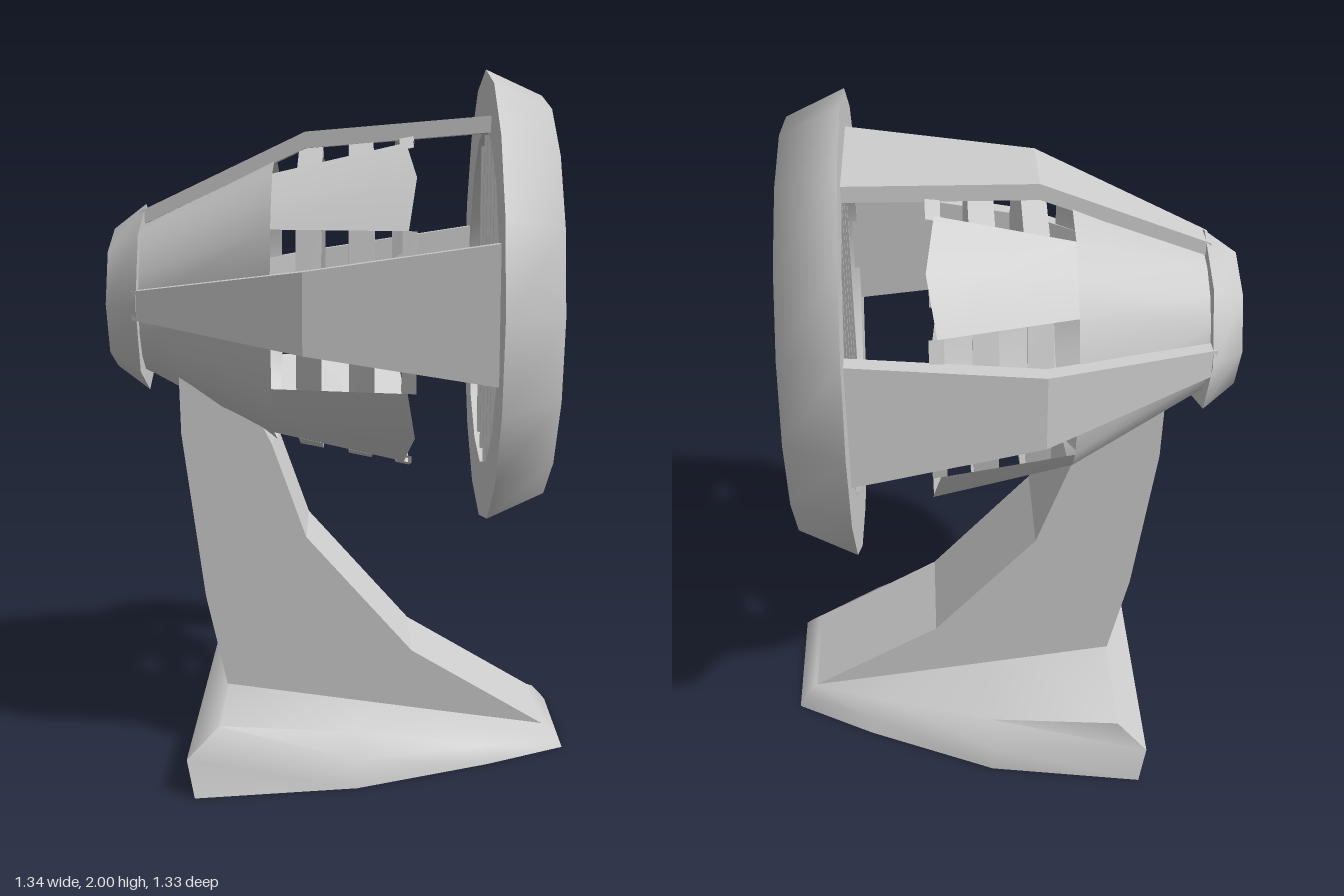
import * as THREE from 'three';
import { toCreasedNormals } from 'three/addons/utils/BufferGeometryUtils.js';

const AXIS_Y = 1.335;
const WINDOW = 0.22; // half width of the side windows
const material = new THREE.MeshStandardMaterial({ color: 0xcccccc, side: THREE.DoubleSide });

function mesh(name, geometry, crease = 0.6) {
  const m = new THREE.Mesh(toCreasedNormals(geometry, crease), material);
  m.name = name;
  return m;
}

// Skin over rows of points; every row has the same count
function loft(rows) {
  const n = rows[0].length, pos = rows.flat(2), idx = [];
  for (let i = 0; i < rows.length - 1; i++)
    for (let j = 0; j < n - 1; j++) {
      const a = i * n + j, b = a + n;
      idx.push(a, a + 1, b, b, a + 1, b + 1);
    }
  const g = new THREE.BufferGeometry();
  g.setAttribute('position', new THREE.Float32BufferAttribute(pos, 3));
  g.setIndex(idx);
  g.computeVertexNormals();
  return g;
}

// Profile of [radius, x] turned around the x axis
function turned(profile, sides) {
  return new THREE.LatheGeometry(profile.map(p => new THREE.Vector2(...p)), sides).rotateZ(-Math.PI / 2);
}

// Housing radius along the axis
function radius(x) {
  return x < -0.19 ? 0.22 + (x + 0.575) * 0.21 / 0.385 : 0.43 + (x + 0.19) * 0.078 / 0.39;
}
const onShell = (x, a, r = radius(x)) => [x, r * Math.cos(a), r * Math.sin(a)];
const edgeAngle = x => Math.asin(WINDOW / radius(x));

function extrude(points, depth) {
  const shape = new THREE.Shape(points.map(p => new THREE.Vector2(...p)));
  return new THREE.ExtrudeGeometry(shape, { depth, bevelEnabled: false }).translate(0, 0, -depth / 2);
}

function buildHead() {
  const head = new THREE.Group();
  head.name = 'head';
  head.position.y = AXIS_Y;

  head.add(mesh('rearCap', turned([[0, -0.67], [0.205, -0.67], [0.278, -0.575], [0.2, -0.575]], 8), 0.85));
  head.add(mesh('frontRing',
    turned([[0.5, 0.425], [0.667, 0.425], [0.592, 0.59], [0.515, 0.59], [0.5, 0.425]], 16), 1.2));

  // Closed rear part of the housing
  const ringRow = (x, e) => {
    const row = [];
    for (let q = 0; q < 4; q++)
      for (const a of [0, e, Math.PI / 4, Math.PI / 2 - e]) row.push(onShell(x, a + q * Math.PI / 2));
    row.push(row[0]);
    return row;
  };
  head.add(mesh('rearHousing', loft([ringRow(-0.575, Math.PI / 8), ringRow(-0.19, edgeAngle(-0.19))])));

  for (let q = 0; q < 4; q++) {
    const turn = q * Math.PI / 2;
    // Diagonal panel with a pointed front edge
    const panelRow = (x, mid) => {
      const e = edgeAngle(x);
      return [onShell(x, turn + e), onShell(mid, turn + Math.PI / 4), onShell(x, turn + Math.PI / 2 - e)];
    };
    head.add(mesh('housingPanel', loft([panelRow(-0.19, -0.19), panelRow(0.185, 0.21)])));

    // Slats across the window
    for (const [x0, x1] of [[-0.12, -0.05], [0.025, 0.095], [0.168, 0.208]]) {
      const row = (x, inset) => [-1, 0, 1].map(s => onShell(x, turn + s * edgeAngle(x), radius(x) - inset));
      head.add(mesh('windowSlat',
        loft([row(x0, 0), row(x1, 0), row(x1, 0.02), row(x0, 0.02), row(x0, 0)]), 0.3));
    }
  }

  // Struts on the top and both sides: x, inner and outer height, half width
  const stations = [[-0.59, 0.215, 0.257, 0.04], [-0.1, 0.44, 0.487, 0.113], [0.44, 0.485, 0.531, 0.193]];
  for (const turn of [0, Math.PI / 2, -Math.PI / 2]) {
    const rows = stations.map(([x, lo, hi, w]) => [[x, hi, -w], [x, hi, w], [x, lo, w], [x, lo, -w], [x, hi, -w]]);
    const cap = i => rows[i].map(() => [rows[i][0][0], (stations[i][1] + stations[i][2]) / 2, 0]);
    const strut = mesh('strut', loft([cap(0), ...rows, cap(2)]), 0.1);
    strut.rotation.x = turn;
    head.add(strut);
  }

  // Slanted upright blades inside the ring
  for (let i = -2; i <= 2; i++) {
    const z = i * 0.108 + 0.018;
    const blade = (x, zz) => {
      const h = Math.sqrt(0.505 ** 2 - zz * zz) - 0.003;
      return [[x, -h, zz], [x, h, zz]];
    };
    const [b0, b1] = [blade(0.435, z - 0.03), blade(0.565, z + 0.022)];
    const shift = row => row.map(([x, y, zz]) => [x, y, zz + 0.012]);
    head.add(mesh('blade', loft([b0, b1, shift(b1), shift(b0), b0]), 0.1));
  }
  return head;
}

function buildBase() {
  // Half outlines of each level, back to front: x, y, z
  const levels = [
    [[-0.4, 0, 0.57], [0.05, 0, 0.5], [0.43, 0, 0.33], [0.667, 0, 0.2]],
    [[-0.424, 0.1, 0.54], [0.05, 0.075, 0.485], [0.42, 0.05, 0.315], [0.65, 0.025, 0.185]],
    [[-0.335, 0.185, 0.505], [0.05, 0.134, 0.42], [0.4, 0.088, 0.27], [0.62, 0.06, 0.165]],
  ];
  const loop = half => {
    const other = half.map(([x, y, z]) => [x, y, -z]).reverse();
    return [...half, ...other, half[0]];
  };
  const flat = (half, x, y) => loop(half).map(() => [x, y, 0]);
  return mesh('base', loft([
    flat(levels[0], 0.05, 0), ...levels.map(loop), flat(levels[2], 0.05, 0.134),
  ]), 1.0);
}

export function createModel() {
  const model = new THREE.Group();
  model.name = 'spotlight';
  model.add(buildHead(), buildBase());

  // Curved neck carrying the head
  const neck = [[-0.335, 0.17], [0.62, 0.055], [0.215, 0.29], [-0.1, 0.64], [-0.2, 0.92],
    [-0.24, 1.0], [-0.47, 1.14], [-0.465, 0.95], [-0.4, 0.46]];
  model.add(mesh('neck', extrude(neck, 0.33), 0.1));
  return model;
}
